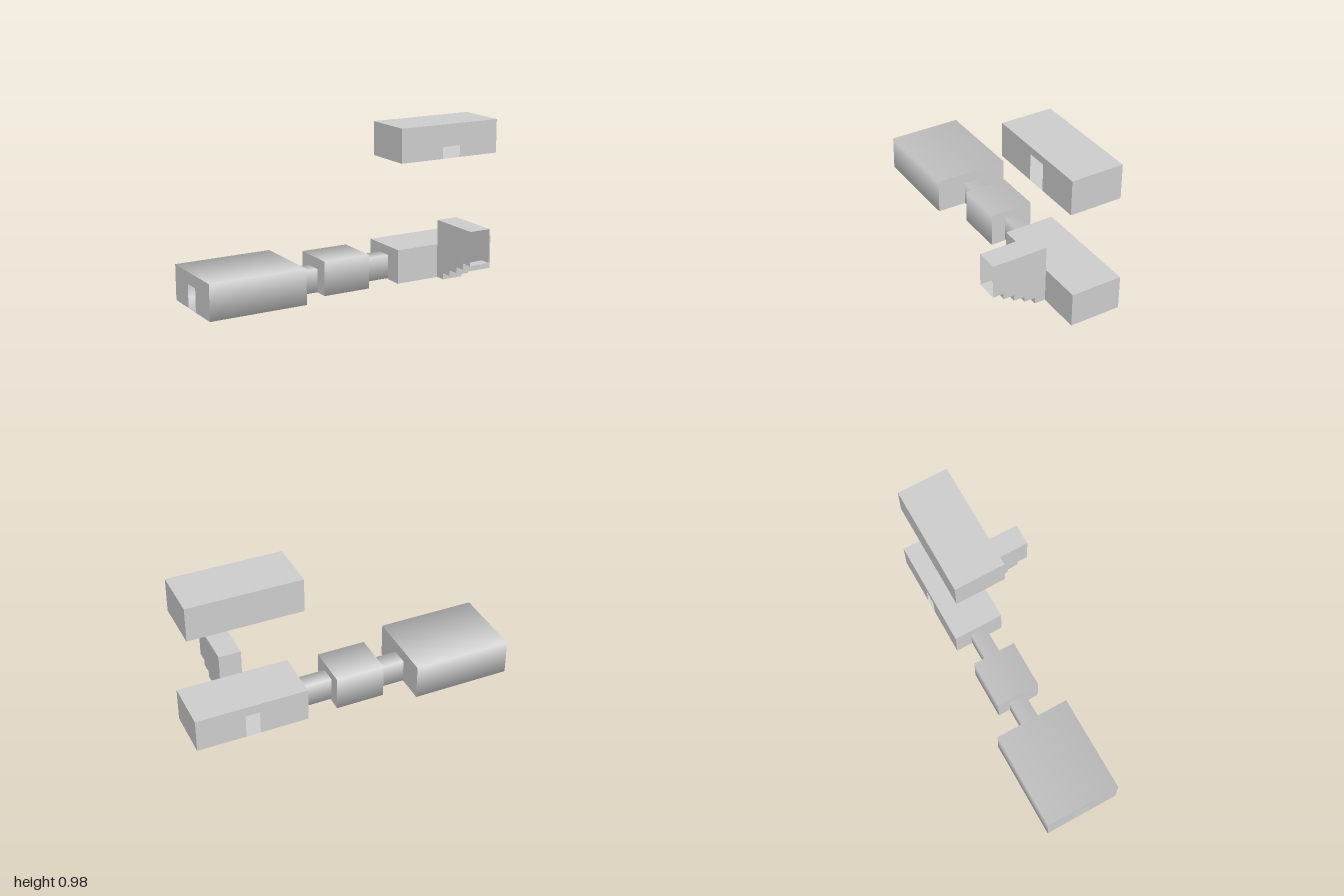
import * as THREE from 'three';

const grey = new THREE.MeshStandardMaterial({ color: 0xcccccc, side: THREE.DoubleSide });

function add(parent, name, geometry) {
  const mesh = new THREE.Mesh(geometry, grey);
  mesh.name = name;
  parent.add(mesh);
  return mesh;
}

// Thin wall from corner (a0, y0) to (a1, y1), with an optional doorway { a0, a1, top } at its foot
function wallShape(a0, a1, y0, y1, door) {
  const s = new THREE.Shape();
  s.moveTo(a0, y0);
  if (door) {
    s.lineTo(door.a0, y0);
    s.lineTo(door.a0, door.top);
    s.lineTo(door.a1, door.top);
    s.lineTo(door.a1, y0);
  }
  s.lineTo(a1, y0);
  s.lineTo(a1, y1);
  s.lineTo(a0, y1);
  s.closePath();
  return new THREE.ShapeGeometry(s);
}

// Wall across z, standing at x
const endWall = (x, z0, z1, y0, y1, door, outward) => {
  if (outward < 0) return wallShape(z0, z1, y0, y1, door).rotateY(-Math.PI / 2).translate(x, 0, 0);
  const flipped = door && { a0: -door.a1, a1: -door.a0, top: door.top };
  return wallShape(-z1, -z0, y0, y1, flipped).rotateY(Math.PI / 2).translate(x, 0, 0);
};

// Wall across x, standing at z
const sideWall = (z, x0, x1, y0, y1, door, outward) => {
  if (outward > 0) return wallShape(x0, x1, y0, y1, door).translate(0, 0, z);
  const flipped = door && { a0: -door.a1, a1: -door.a0, top: door.top };
  return wallShape(-x1, -x0, y0, y1, flipped).rotateY(Math.PI).translate(0, 0, z);
};

// Level sheet facing up or down
const slab = (x0, x1, z0, z1, y, up) =>
  new THREE.PlaneGeometry(x1 - x0, z1 - z0)
    .rotateX(up ? -Math.PI / 2 : Math.PI / 2)
    .translate((x0 + x1) / 2, y, (z0 + z1) / 2);

// Open rectangular tube along x, shaded smoothly around its four long edges
function sleeve({ x, y, z }) {
  const g = new THREE.CylinderGeometry(1, 1, 2, 4, 1, true, Math.PI / 4).rotateZ(Math.PI / 2);
  const p = g.attributes.position;
  for (let i = 0; i < p.count; i++) {
    p.setXYZ(i, x[p.getX(i) > 0 ? 1 : 0], y[p.getY(i) > 0 ? 1 : 0], z[p.getZ(i) > 0 ? 1 : 0]);
  }
  return g;
}

// Smooth-shaded hall with a doorway in each end
function hall(name, box, doorLeft, doorRight) {
  const g = new THREE.Group();
  g.name = name;
  add(g, 'shell', sleeve(box));
  add(g, 'westWall', endWall(box.x[0], ...box.z, ...box.y, doorLeft, -1));
  add(g, 'eastWall', endWall(box.x[1], ...box.z, ...box.y, doorRight, 1));
  return g;
}

// Flat-sided room with optional doorways
function room(name, { x, y, z }, doors) {
  const g = new THREE.Group();
  g.name = name;
  add(g, 'floor', slab(...x, ...z, y[0], false));
  add(g, 'roof', slab(...x, ...z, y[1], true));
  add(g, 'westWall', endWall(x[0], ...z, ...y, doors.west, -1));
  add(g, 'eastWall', endWall(x[1], ...z, ...y, doors.east, 1));
  add(g, 'backWall', sideWall(z[0], ...x, ...y, doors.back, -1));
  add(g, 'frontWall', sideWall(z[1], ...x, ...y, doors.front, 1));
  return g;
}

// Roofed stairwell rising toward the front, open at its upper end
function stairwell() {
  const g = new THREE.Group();
  g.name = 'stairwell';
  const x = [0.59, 0.73], back = 0.025, run = 0.07, top = 0.377;
  const levels = [0.01, 0.05, 0.086, 0.125, 0.164];
  const side = new THREE.Shape();
  side.moveTo(back, top);
  levels.forEach((y, i) => {
    const z0 = back + i * run, z1 = z0 + run;
    side.lineTo(z0, y);
    side.lineTo(z1, y);
    add(g, 'tread', slab(...x, z0, z1, y, false));
    if (i) add(g, 'riser', sideWall(z0, ...x, levels[i - 1], y, null, 1));
  });
  const front = back + levels.length * run;
  side.lineTo(front, top);
  side.closePath();
  for (const sx of x) {
    add(g, 'stairSide', new THREE.ShapeGeometry(side).rotateY(-Math.PI / 2).translate(sx, 0, 0));
  }
  add(g, 'stairRoof', slab(...x, back, front, top, true));
  add(g, 'stairBack', sideWall(back, ...x, 0.22, top, null, -1));
  return g;
}

export function createModel() {
  const model = new THREE.Group();
  model.name = 'dungeon';
  const doorA = { a0: -0.195, a1: -0.09, top: 0.15 };
  const doorB = { a0: -0.19, a1: -0.09, top: 0.165 };

  // Chain of halls and passages along x
  model.add(hall('largeHall', { x: [-1, -0.38], y: [0.003, 0.224], z: [-0.375, 0.103] }, doorA, doorA));
  add(model, 'firstPassage', sleeve({ x: [-0.38, -0.205], y: [0.003, 0.15], z: [-0.195, -0.085] }));
  model.add(hall('smallHall', { x: [-0.205, 0.103], y: [0.003, 0.217], z: [-0.273, 0.005] }, doorA, doorB));
  add(model, 'secondPassage', sleeve({ x: [0.103, 0.3], y: [0.015, 0.165], z: [-0.19, -0.09] }));

  // Lower room, stairs and the raised room above
  model.add(room('lowerRoom', { x: [0.3, 1], y: [0.008, 0.222], z: [-0.297, 0.025] }, {
    west: doorB,
    back: { a0: 0.605, a1: 0.695, top: 0.16 },
    front: { a0: 0.59, a1: 0.73, top: 0.22 },
  }));
  model.add(stairwell());
  model.add(room('upperRoom', { x: [0.3, 1], y: [0.768, 0.981], z: [-0.262, 0.06] }, {
    front: { a0: 0.597, a1: 0.723, top: 0.935 },
  }));
  return model;
}
